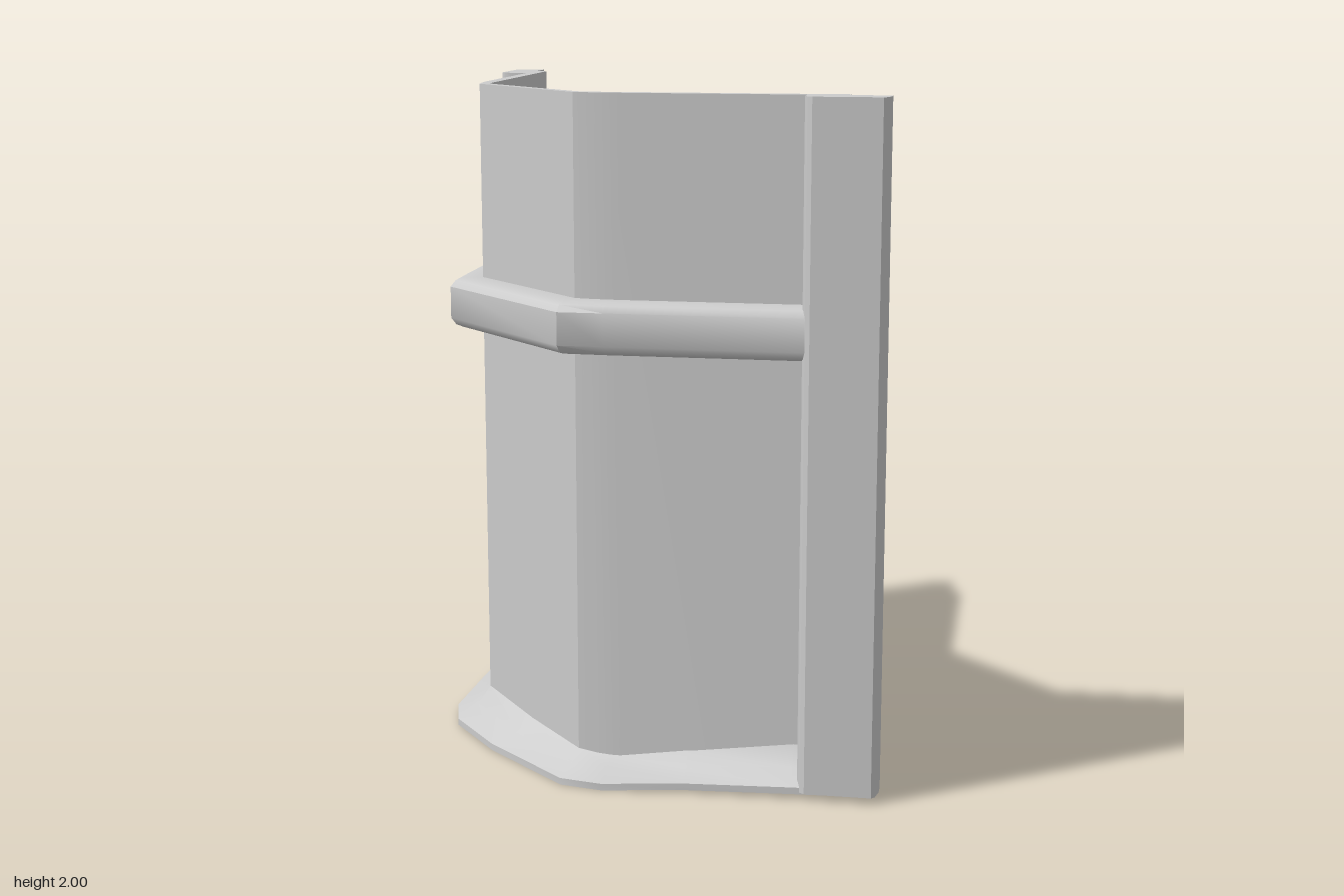
import * as THREE from 'three';
import { toCreasedNormals } from 'three/addons/utils/BufferGeometryUtils.js';

const material = new THREE.MeshStandardMaterial({ color: 0xcccccc, side: THREE.DoubleSide });

// The plan is symmetric about the diagonal x = -z
const mirror = ([x, z]) => [-z, -x];
const fullPath = (half) => [...half, ...half.map(mirror).reverse()];

function addMesh(parent, name, geometry, crease = 0.5) {
  const mesh = new THREE.Mesh(toCreasedNormals(geometry, crease), material);
  mesh.name = name;
  parent.add(mesh);
  return mesh;
}

// Upright prism from a plan outline of [x, z] points
function prism(plan, y0, y1) {
  const shape = new THREE.Shape(plan.map(([x, z]) => new THREE.Vector2(x, -z)));
  return new THREE.ExtrudeGeometry(shape, { depth: y1 - y0, bevelEnabled: false })
    .rotateX(-Math.PI / 2)
    .translate(0, y0, 0);
}

// Skin over a row of closed cross-sections
function loft(rings, capped) {
  const n = rings[0].length;
  const index = [];
  for (let i = 0; i < rings.length - 1; i++) {
    for (let j = 0; j < n; j++) {
      const k = (j + 1) % n;
      const a = i * n + j, b = i * n + k, c = b + n, d = a + n;
      index.push(a, b, c, a, c, d);
    }
  }
  if (capped) {
    const e = (rings.length - 1) * n;
    for (let j = 1; j < n - 1; j++) index.push(0, j + 1, j, e, e + j, e + j + 1);
  }
  const geometry = new THREE.BufferGeometry();
  geometry.setAttribute('position', new THREE.Float32BufferAttribute(rings.flat(2), 3));
  geometry.setIndex(index);
  return geometry;
}

// Point between an inner and an outer plan point, at height y
const between = (inner, outer, t, y) => [
  inner[0] + (outer[0] - inner[0]) * t, y, inner[1] + (outer[1] - inner[1]) * t,
];

export function createModel() {
  const model = new THREE.Group();
  model.name = 'cornerGuard';

  // Bent wall panel
  const innerWall = fullPath([[0.575, 0.54], [-0.155, 0.54], [-0.18, 0.535], [-0.2, 0.52]]);
  const outerWall = fullPath([[0.575, 0.577], [-0.07, 0.577], [-0.14, 0.572], [-0.2, 0.562]]);
  addMesh(model, 'wallPanel', prism([...innerWall, ...outerWall.reverse()], 0.02, 2));

  // Hollow end posts, open toward the inside and capped at both ends
  const outline = [[0.457, 0.575], [0.457, 0.635], [0.466, 0.655], [0.48, 0.665],
    [0.672, 0.665], [0.682, 0.655], [0.69, 0.615], [0.69, 0.575]];
  const channel = [[0.655, 0.575], [0.655, 0.647], [0.475, 0.647], [0.475, 0.575]];
  for (const [name, map] of [['leftPost', (p) => p], ['rightPost', mirror]]) {
    const post = new THREE.Group();
    post.name = name;
    const cap = outline.map(map);
    addMesh(post, 'postChannel', prism([...outline, ...channel].map(map), 0.02, 2));
    addMesh(post, 'postTopCap', prism(cap, 1.98, 2));
    addMesh(post, 'postBottomCap', prism(cap, 0.02, 0.032));
    model.add(post);
  }

  // Hollow belt with rounded edges wrapped around the wall
  const beltInner = fullPath([[0.605, 0.574], [-0.07, 0.574], [-0.2, 0.56]]);
  const beltOuter = fullPath([[0.605, 0.654], [-0.1, 0.655], [-0.232, 0.655]]);
  const beltProfile = [[0, 1.272], [0.65, 1.272], [0.85, 1.28], [1, 1.3],
    [1, 1.395], [0.85, 1.414], [0.65, 1.422], [0, 1.422]];
  addMesh(model, 'belt', loft(beltInner.map((p, i) =>
    beltProfile.map(([t, y]) => between(p, beltOuter[i], t, y))), false), 0.6);

  // Flared skirt at the foot: inner point, outer point, top height, bottom height
  const stations = [
    [[0.6, 0.575], [0.6, 0.652], 0.15, 0.016],
    [[0.44, 0.575], [0.44, 0.655], 0.14, 0.014],
    [[0.13, 0.575], [0.13, 0.662], 0.1, 0.008],
    [[-0.1, 0.573], [-0.11, 0.685], 0.07, 0],
    [[-0.2, 0.56], [-0.235, 0.66], 0.08, 0],
    [[-0.38, 0.38], [-0.5, 0.425], 0.097, 0.002],
    [[-0.56, 0.2], [-0.66, 0.23], 0.13, 0.004],
    [[-0.573, 0.1], [-0.695, 0.1], 0.13, 0.005],
    [[-0.574, -0.2], [-0.682, -0.2], 0.13, 0.008],
    [[-0.575, -0.44], [-0.652, -0.46], 0.14, 0.014],
    [[-0.575, -0.6], [-0.652, -0.6], 0.15, 0.016],
  ];
  addMesh(model, 'flaredSkirt', loft(stations.map(([p, q, top, low]) => [
    between(p, q, 0, low + 0.006),
    between(p, q, 1, low),
    between(p, q, 1, low + 0.02),
    between(p, q, 0.4, 0.02 + (top - 0.02) * 0.48),
    between(p, q, 0, top),
  ]), true), 0.6);

  return model;
}
